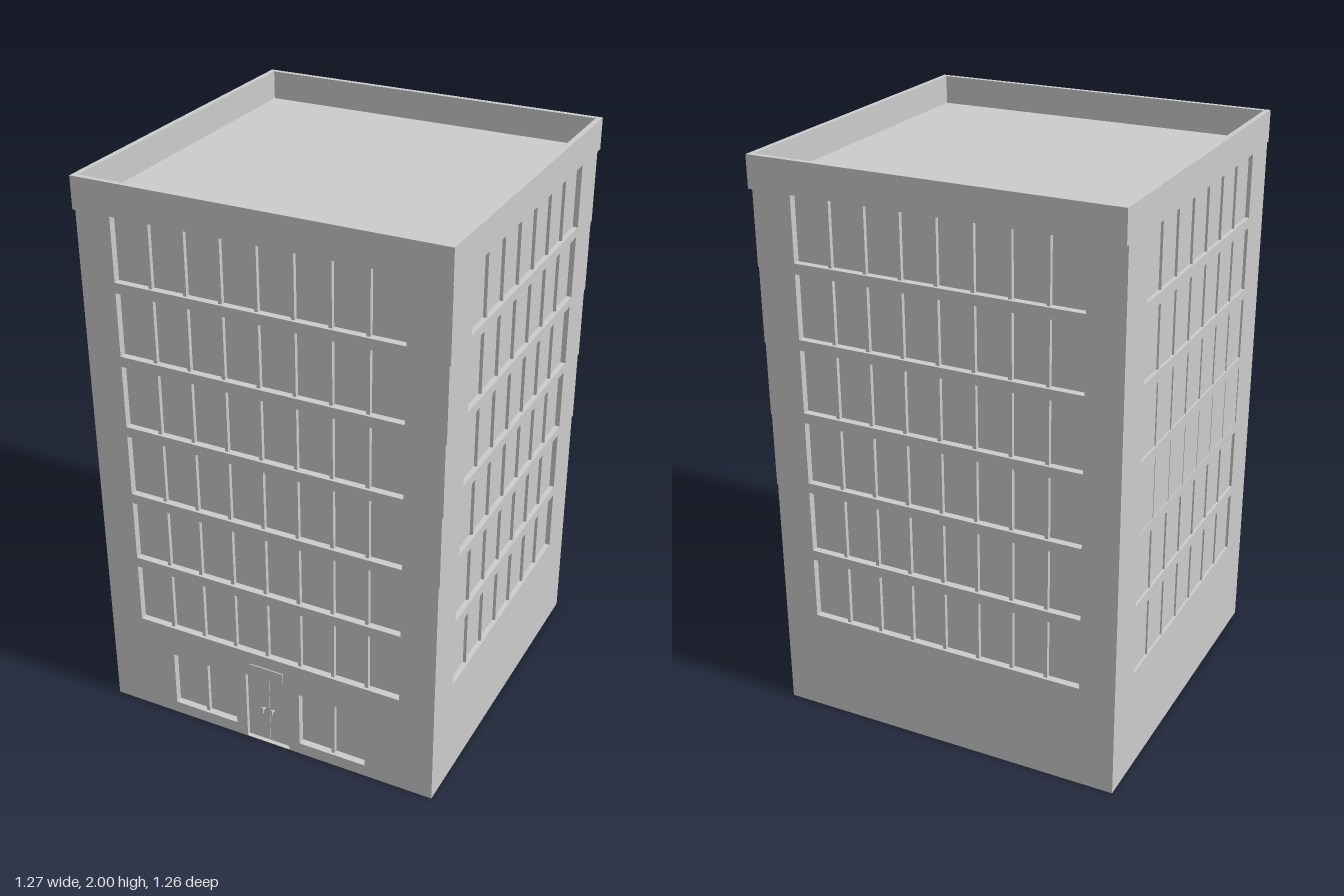
import * as THREE from 'three';

const material = new THREE.MeshStandardMaterial({ color: 0xcccccc, flatShading: true, side: THREE.DoubleSide });
const LEFT = 0.616, RIGHT = -0.635, FRONT = 0.618, CENTRE = -0.0095;
const FLOOR = 0.258, FIRST_HEAD = 0.6, ROWS = 6, STEP = 0.0035, TOP = 1.9;

// the left wall stands out a little further on each floor from the third row up
const leftAt = row => LEFT + STEP * Math.max(0, row - 1);
const headOf = row => FIRST_HEAD + FLOOR * row;

function part(parent, name, geometry, x = 0, y = 0, z = 0) {
  const mesh = new THREE.Mesh(geometry, material);
  mesh.name = name;
  mesh.position.set(x, y, z);
  parent.add(mesh);
  return mesh;
}
const box = (parent, name, w, h, d, x, y, z) =>
  part(parent, name, new THREE.BoxGeometry(w, h, d), x, y, z);

// a recess sunk behind the wall plane: a box without its front, with mullions
function recess(parent, o) {
  const w = o.u1 - o.u0, h = o.y1 - o.y0, y = (o.y0 + o.y1) / 2;
  const geometry = new THREE.BoxGeometry(w, h, o.depth);
  const index = Array.from(geometry.index.array);
  index.splice(24, 6);
  geometry.setIndex(index);
  geometry.clearGroups();
  part(parent, o.name, geometry, (o.u0 + o.u1) / 2, y, -o.depth / 2);
  for (let i = 1; i < o.bays; i++) {
    box(parent, 'mullion', 0.012, h, o.depth * 0.6, o.u0 + w * i / o.bays, y, -o.depth * 0.7);
  }
}

// thin wall in the local xy plane with recessed openings
function wall(parent, name, outline, openings) {
  const group = new THREE.Group();
  group.name = name;
  const shape = new THREE.Shape(outline.map(p => new THREE.Vector2(...p)));
  for (const o of openings) {
    shape.holes.push(new THREE.Path([
      new THREE.Vector2(o.u0, o.y0), new THREE.Vector2(o.u0, o.y1),
      new THREE.Vector2(o.u1, o.y1), new THREE.Vector2(o.u1, o.y0)]));
    recess(group, o);
  }
  part(group, 'wallPanel', new THREE.ShapeGeometry(shape));
  parent.add(group);
  return group;
}

const strip = (row, centre, half, bays, depth) => ({
  name: 'windowRow', u0: centre - half, u1: centre + half,
  y0: headOf(row) - 0.226, y1: headOf(row) - 0.004, bays, depth
});
const rect = (half, y0, y1) => [[-half, y0], [half, y0], [half, y1], [-half, y1]];
const rows = [...Array(ROWS).keys()];

export function createModel() {
  const model = new THREE.Group();
  model.name = 'officeBuilding';

  // outline of front and back walls, following the stepped left side
  const outline = [[RIGHT, 0], [LEFT, 0]];
  for (let row = 2; row < ROWS; row++) {
    outline.push([leftAt(row - 1), headOf(row - 1)], [leftAt(row), headOf(row - 1)]);
  }
  outline.push([leftAt(ROWS - 1), TOP], [RIGHT, TOP]);

  // front wall with ground floor windows and door
  const frontOpenings = rows.map(r => strip(r, CENTRE, 0.5, 8, 0.025));
  for (const side of [-1, 1]) {
    const c = CENTRE + side * 0.25;
    frontOpenings.push({ name: 'groundWindow', u0: c - 0.125, u1: c + 0.125, y0: 0.045, y1: 0.258, bays: 2, depth: 0.025 });
  }
  frontOpenings.push({ name: 'door', u0: CENTRE - 0.083, u1: CENTRE + 0.083, y0: 0.002, y1: 0.275, bays: 1, depth: 0.015 });
  const front = wall(model, 'frontWall', outline, frontOpenings);
  front.position.z = FRONT;

  // double door details
  box(front, 'doorSeam', 0.004, 0.27, 0.003, CENTRE, 0.138, -0.014);
  for (const side of [-1, 1]) {
    box(front, 'doorHandle', 0.008, 0.03, 0.004, CENTRE + side * 0.018, 0.14, 0.004);
    box(front, 'handleStem', 0.005, 0.005, 0.018, CENTRE + side * 0.018, 0.14, -0.006);
  }
  box(front, 'blankPlate', 0.13, 0.04, 0.004, CENTRE, 0.307, 0.002);

  // back wall
  const back = wall(model, 'backWall', outline.map(([x, y]) => [-x, y]).reverse(),
    rows.map(r => strip(r, -CENTRE, 0.5, 8, 0.025)));
  back.position.z = -FRONT;
  back.rotation.y = Math.PI;

  // right wall, flat, its windows set deeper on the upper floors
  const depths = [0.01, 0.01, 0.003, 0.007, 0.011, 0.014];
  const right = wall(model, 'rightWall', rect(FRONT, 0, TOP),
    rows.map(r => strip(r, 0, 0.465, 7, depths[r])));
  right.position.x = RIGHT;
  right.rotation.y = -Math.PI / 2;

  // left wall in bands, each a small step further out
  for (let row = 1; row < ROWS; row++) {
    const y0 = row === 1 ? 0 : headOf(row - 1);
    const y1 = row === ROWS - 1 ? TOP : headOf(row);
    const windows = (row === 1 ? [0, 1] : [row]).map(r => strip(r, 0, 0.465, 7, 0.018));
    const band = wall(model, 'leftWallBand', rect(FRONT, y0, y1), windows);
    band.position.x = leftAt(row);
    band.rotation.y = Math.PI / 2;
    if (row > 1) box(model, 'ledge', STEP, 0.002, FRONT * 2, leftAt(row) - STEP / 2, y0 + 0.001, 0);
  }

  // roof and parapet
  box(model, 'roof', 1.25, 0.01, 1.24, 0, TOP - 0.005, 0);
  const ring = new THREE.Shape([[-0.635, -0.632], [0.635, -0.632], [0.635, 0.632], [-0.635, 0.632]].map(p => new THREE.Vector2(...p)));
  ring.holes.push(new THREE.Path([[-0.616, -0.613], [-0.616, 0.613], [0.616, 0.613], [0.616, -0.613]].map(p => new THREE.Vector2(...p))));
  const parapet = part(model, 'parapet', new THREE.ExtrudeGeometry(ring, { depth: 0.11, bevelEnabled: false }), 0, 1.89, 0);
  parapet.rotation.x = -Math.PI / 2;

  return model;
}
